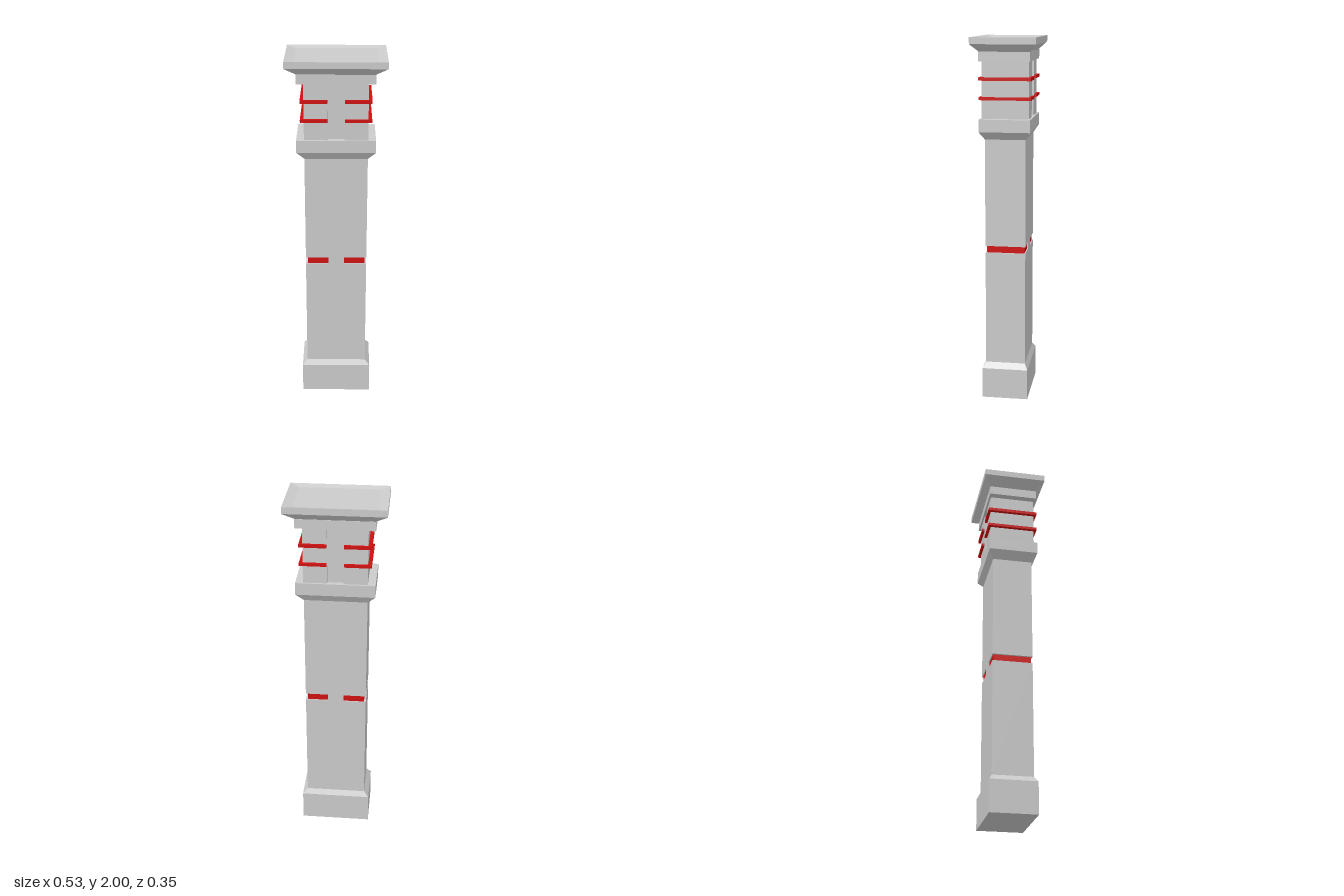
import * as THREE from 'three';

const grey = new THREE.MeshStandardMaterial({ color: 0xcccccc, flatShading: true });
const red = new THREE.MeshStandardMaterial({ color: 0xd01010, flatShading: true });

// Closed solid through rectangular sections [y, halfWidth, halfDepth], bottom to top
function loft(sections) {
  const pos = [];
  const rings = sections.map(([y, w, d]) => [[-w, y, d], [w, y, d], [w, y, -d], [-w, y, -d]]);
  const quad = (a, b, c, d) => pos.push(...a, ...b, ...c, ...a, ...c, ...d);
  for (let i = 0; i < rings.length - 1; i++) {
    const lo = rings[i], hi = rings[i + 1];
    for (let k = 0; k < 4; k++) {
      const n = (k + 1) % 4;
      quad(lo[k], lo[n], hi[n], hi[k]);
    }
  }
  const first = rings[0], last = rings[rings.length - 1];
  quad(first[3], first[2], first[1], first[0]);
  quad(last[0], last[1], last[2], last[3]);
  const geo = new THREE.BufferGeometry();
  geo.setAttribute('position', new THREE.Float32BufferAttribute(pos, 3));
  geo.computeVertexNormals();
  return geo;
}

// C-shaped clip wrapping one side: outer half sizes w, d, front gap and thickness t
function clip(w, d, gap, t, height) {
  const pts = [[gap, -d], [w, -d], [w, d], [gap, d], [gap, d - t], [w - t, d - t], [w - t, t - d], [gap, t - d]];
  const shape = new THREE.Shape(pts.map(([x, z]) => new THREE.Vector2(x, z)));
  const geo = new THREE.ExtrudeGeometry(shape, { depth: height, bevelEnabled: false });
  return geo.rotateX(-Math.PI / 2);
}

export function createModel() {
  const group = new THREE.Group();
  const add = (name, geo, mat = grey) => {
    const mesh = new THREE.Mesh(geo, mat);
    mesh.name = name;
    group.add(mesh);
    return mesh;
  };

  // Plinth with sloped shoulder, and shaft up to the groove
  add('plinth', loft([[0, 0.195, 0.127], [0.172, 0.195, 0.127], [0.202, 0.168, 0.11]]));
  add('lowerShaft', loft([[0.202, 0.168, 0.11], [0.837, 0.168, 0.11]]));

  // Red groove, interrupted by a bridge on front and back
  add('grooveBand', loft([[0.837, 0.158, 0.104], [0.875, 0.158, 0.104]]), red);
  add('grooveBridge', loft([[0.837, 0.043, 0.11], [0.875, 0.043, 0.11]]));

  // Upper shaft and flared collar
  add('upperShaft', loft([[0.875, 0.168, 0.11], [1.462, 0.168, 0.11]]));
  add('collar', loft([[1.462, 0.168, 0.11], [1.505, 0.209, 0.137], [1.572, 0.209, 0.137]]));

  // Neck: recessed centre between two side blocks
  add('neckCore', loft([[1.572, 0.05, 0.11], [1.875, 0.05, 0.11]]));
  for (const side of [-1, 1]) {
    const block = add('neckBlock', loft([[1.572, 0.0625, 0.126], [1.875, 0.0625, 0.126]]));
    block.position.x = side * 0.1055;

    // Red clips around each block
    for (const [y, h] of [[1.672, 0.015], [1.774, 0.017]]) {
      const ring = add('neckClip', clip(0.187, 0.14, 0.045, 0.03, h), red);
      ring.position.y = y;
      if (side < 0) ring.rotation.y = Math.PI;
    }
  }

  // Cornice and cap with a shallow dished top
  add('cornice', loft([[1.875, 0.205, 0.136], [1.925, 0.205, 0.136]]));
  add('cap', loft([
    [1.925, 0.202, 0.134], [1.965, 0.263, 0.174], [2, 0.263, 0.174], [1.99, 0.214, 0.142],
  ]));

  return group;
}
